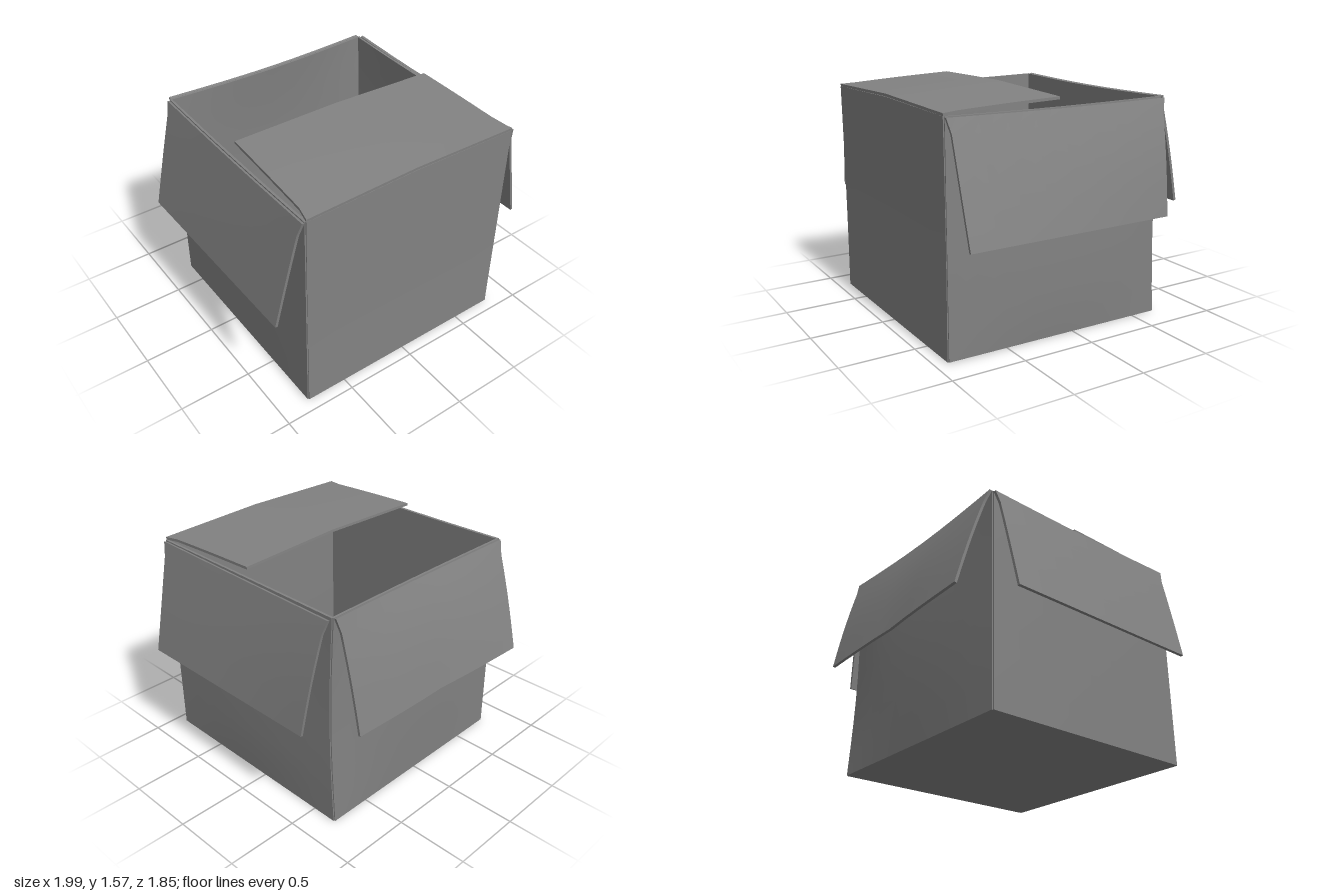
import * as THREE from 'three';

const V = (x, y, z) => new THREE.Vector3(x, y, z);
const hump = t => Math.sin(Math.PI * t);
const ridge = t => 1 - Math.abs(2 * t - 1);

// Thin board spanning four corners (u along a->b, v along a->c), bent by a rule
// warp(u, v) that gives an [x, y, z] offset.
function board(name, a, b, c, d, thick, warp, material) {
  const geo = new THREE.BoxGeometry(1, 1, 1, 8, 8, 1);
  const pos = geo.attributes.position;
  const mid = (p, q, t) => p.clone().lerp(q, t);
  const normal = b.clone().sub(a).cross(c.clone().sub(a)).normalize();
  for (let i = 0; i < pos.count; i++) {
    const u = pos.getX(i) + 0.5, v = pos.getY(i) + 0.5;
    const p = mid(mid(a, b, u), mid(c, d, u), v);
    p.addScaledVector(normal, pos.getZ(i) * thick);
    p.add(V(...warp(u, v)));
    pos.setXYZ(i, p.x, p.y, p.z);
  }
  geo.computeVertexNormals();
  const mesh = new THREE.Mesh(geo, material);
  mesh.name = name;
  return mesh;
}

// Extra narrowing of a flap's ends close to its hinge (t = 0 at the hinge)
const pinch = (u, t) => (1 - 2 * u) * Math.min(0.14 * t, 0.02 * (1 - t));

export function createModel() {
  const box = new THREE.Group();
  box.name = 'openCardboardBox';
  const card = new THREE.MeshStandardMaterial({ color: 0x828282 });
  const add = (...args) => box.add(board(...args, card));
  const X = 0.789, F = 0.913, B = -0.676, Y = 1.502, T = 0.016;

  // Walls and floor, slightly bowed; the back left corner is dented inward
  add('frontWall', V(-X, 0.012, F), V(X, 0.012, F), V(-X, Y, F), V(X, Y, F), T,
    (u, v) => [0, 0.018 * v * ridge(u), -0.004 * hump(v)]);
  add('backWall', V(X, 0.004, B), V(-X, 0.01, B), V(X, Y, B), V(-X, Y, B), T,
    (u, v) => [0, -0.01 * v * hump(u),
      hump(u) * (0.02 * v ** 4 - 0.022 * hump(v)) + 0.028 * (1 - u) ** 6 * hump(v)]);
  add('leftWall', V(X, 0.012, F), V(X, 0.004, B), V(X, Y, F), V(X, Y, B), T,
    (u, v) => [hump(u) * (0.018 * hump(v ** 0.6) - 0.014 * v ** 4), -0.01 * v * hump(u),
      0.028 * u ** 6 * hump(v)]);
  add('rightWall', V(-X, 0.01, B), V(-X, 0.012, F), V(-X, Y, B), V(-X, Y, F), T,
    (u, v) => [-0.003 * hump(u) * hump(v), -0.01 * v * hump(u), 0]);
  add('floor', V(-X, 0.018, B), V(X, 0.012, B), V(-X, 0.02, F), V(X, 0.02, F), T,
    (u, v) => [0, 0.006 * hump(u) * hump(v), 0]);

  // Front flap, folded inward over the opening
  add('frontFlap', V(-X, 1.511, F + 0.007), V(X, 1.511, F + 0.007), V(-0.745, 1.557, 0.092), V(0.76, 1.543, 0.105), 0.018,
    (u, v) => [pinch(u, v), 0.02 * ridge(u) + 0.003 * hump(v), 0.006 * v * ridge(u)]);

  // Side and back flaps, hanging outside
  add('leftFlap', V(0.985, 0.74, 0.865), V(0.983, 0.742, -0.6), V(0.804, 1.495, F), V(0.822, 1.495, B), 0.018,
    (u, v) => [0.012 * hump(v) * u - 0.012 * v * hump(u), -0.01 * v * hump(u), -pinch(u, 1 - v)]);
  add('rightFlap', V(-0.987, 0.74, -0.645), V(-0.972, 0.74, 0.855), V(-0.804, 1.495, B), V(-0.804, 1.495, F), 0.018,
    (u, v) => [-0.003 * hump(v), -0.01 * v * hump(u), pinch(u, 1 - v)]);
  add('backFlap', V(0.765, 0.765, -0.868), V(-0.742, 0.765, -0.921), V(X, 1.503, -0.695), V(-X, 1.503, -0.695), 0.018,
    (u, v) => [-pinch(u, 1 - v), -0.01 * v * hump(u),
      -0.01 * hump(v) + (1 - v) * 0.015 * ridge(u) ** 3 + 0.02 * v ** 4 * hump(u)]);

  return box;
}
